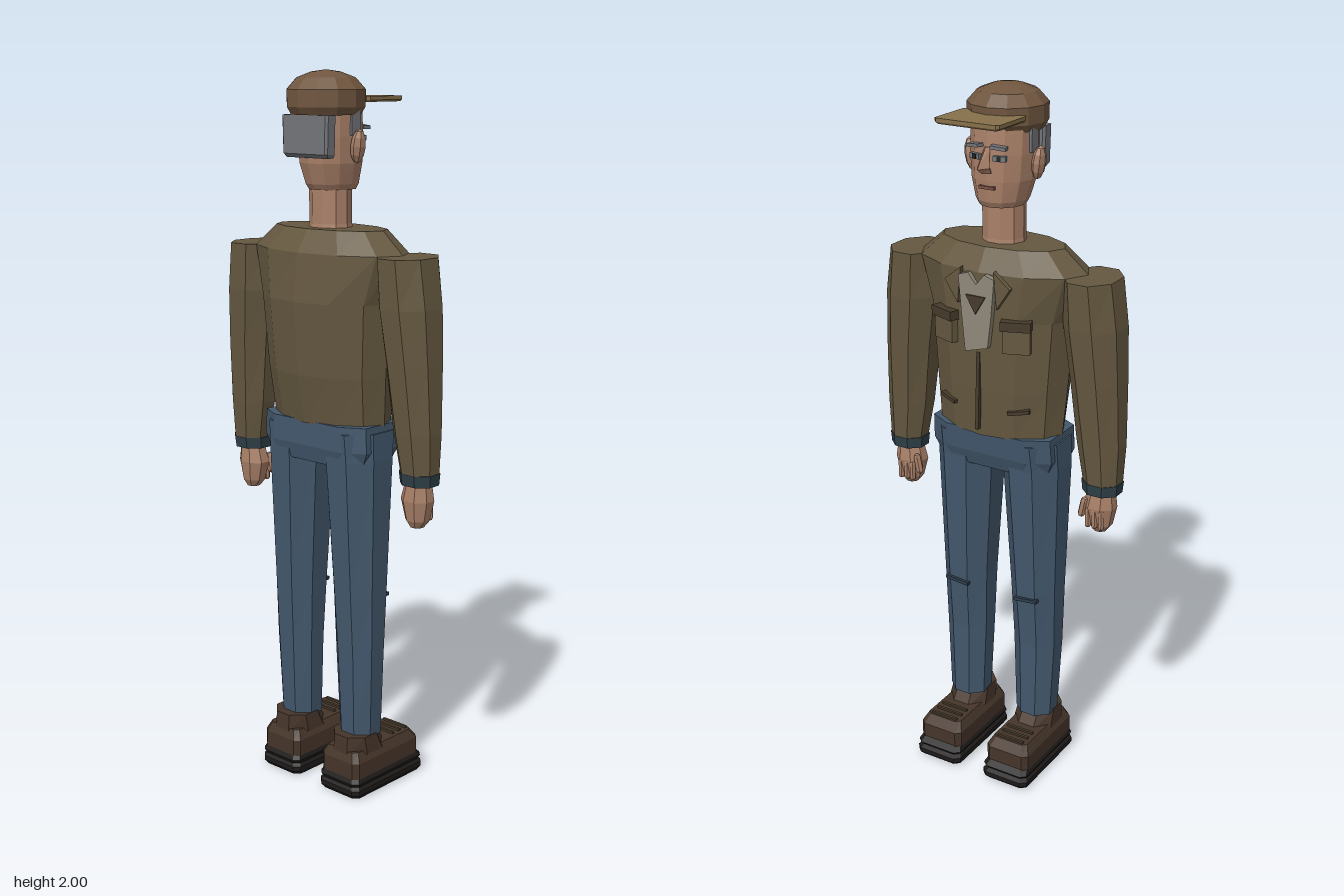
import * as THREE from 'three';

// Unit outlines [x, z], running from +x towards +z
const ngon = (n, turn = 0) => {
  const k = turn ? Math.cos(Math.PI / n) : 1;
  return Array.from({ length: n }, (_, i) => {
    const a = ((i + turn) / n) * Math.PI * 2;
    return [Math.cos(a) / k, Math.sin(a) / k];
  });
};
const chamfered = (cx, cz) => [
  [1, -1 + cz], [1, 1 - cz], [1 - cx, 1], [-1 + cx, 1],
  [-1, 1 - cz], [-1, -1 + cz], [-1 + cx, -1], [1 - cx, -1],
];

// Skin an outline through sections [y, x0, x1, z0, z1] listed bottom to top
function loft(outline, sections) {
  const n = outline.length, pos = [], idx = [];
  for (const [y, x0, x1, z0, z1] of sections)
    for (const [u, v] of outline)
      pos.push((x0 + x1) / 2 + (u * Math.abs(x1 - x0)) / 2, y, (z0 + z1) / 2 + (v * (z1 - z0)) / 2);
  for (let r = 0; r < sections.length - 1; r++)
    for (let i = 0; i < n; i++) {
      const a = r * n + i, b = r * n + ((i + 1) % n);
      idx.push(a, a + n, b, b, a + n, b + n);
    }
  const top = (sections.length - 1) * n;
  for (let i = 1; i < n - 1; i++) idx.push(0, i, i + 1, top, top + i + 1, top + i);
  const g = new THREE.BufferGeometry();
  g.setAttribute('position', new THREE.Float32BufferAttribute(pos, 3));
  g.setIndex(idx);
  g.computeVertexNormals();
  return g;
}

function plate(points, depth) {
  const s = new THREE.Shape(points.map(([x, y]) => new THREE.Vector2(x, y)));
  return new THREE.ExtrudeGeometry(s, { depth, bevelEnabled: false });
}

export function createModel() {
  const model = new THREE.Group();
  const mat = (color) => new THREE.MeshStandardMaterial({ color, flatShading: true });
  const jacket = mat(0x655840), seam = mat(0x463b2b), capCloth = mat(0x70563f), brimCloth = mat(0x86704a);
  const denim = mat(0x43586d), denimDark = mat(0x2f3c4b), skin = mat(0xa98068), hair = mat(0x73757a);
  const leather = mat(0x46352a), sole = mat(0x1e1b1a), cuff = mat(0x2f4048), shirt = mat(0x8f887a);
  const dark = mat(0x2a2422), lip = mat(0x7d4f45), eyeGrey = mat(0x6f7a80);

  const add = (name, geo, material, p = [0, 0, 0], r = [0, 0, 0]) => {
    const m = new THREE.Mesh(geo, material);
    m.name = name;
    m.position.set(...p);
    m.rotation.set(...r);
    model.add(m);
    return m;
  };
  const box = (name, size, material, p, r) => add(name, new THREE.BoxGeometry(...size), material, p, r);
  const eight = ngon(8, 0.5), twelve = ngon(12);
  const centred = (rows) => rows.map(([y, w, z0, z1]) => [y, -w, w, z0, z1]);
  const sided = (s, rows) => rows.map(([y, a, b, z0, z1]) => [y, s * a, s * b, z0, z1]);

  // Jacket body
  add('jacket', loft(twelve, centred([
    [1.065, 0.19, -0.095, 0.13], [1.2, 0.2, -0.105, 0.155], [1.4, 0.215, -0.11, 0.17],
    [1.53, 0.255, -0.107, 0.155], [1.59, 0.185, -0.07, 0.115],
  ])), jacket);
  box('zipper', [0.01, 0.22, 0.012], seam, [0, 1.2, -0.108], [0.04, 0, 0]);
  // Shirt opening
  add('shirtFront', plate([[-0.055, 1.52], [-0.045, 1.41], [-0.035, 1.33], [0.035, 1.31],
    [0.045, 1.41], [0.055, 1.52], [0.025, 1.53], [0, 1.5], [-0.025, 1.53]], 0.02), shirt, [0, 0, -0.118]);
  add('shirtShadow', plate([[-0.03, 1.47], [0, 1.42], [0.03, 1.47]], 0.006), seam, [0, 0, -0.123]);

  // Neck and head
  add('neck', loft(ngon(10), centred([[1.57, 0.064, -0.035, 0.085], [1.6, 0.06, -0.03, 0.08],
    [1.72, 0.06, -0.03, 0.08]])), skin);
  add('head', loft(twelve, centred([
    [1.69, 0.062, -0.05, 0.085], [1.705, 0.07, -0.058, 0.095], [1.76, 0.085, -0.063, 0.112],
    [1.83, 0.09, -0.063, 0.117], [1.92, 0.09, -0.055, 0.117],
  ])), skin);
  add('hairBack', loft(chamfered(0.08, 0.3), centred([[1.775, 0.074, 0.09, 0.12], [1.785, 0.08, 0.09, 0.128],
    [1.885, 0.083, 0.09, 0.128]])), hair);
  // Nose, mouth
  add('nose', loft(ngon(4), centred([[1.785, 0.018, -0.085, -0.05], [1.8, 0.018, -0.108, -0.05],
    [1.85, 0.008, -0.068, -0.05]])), skin);
  box('mouth', [0.045, 0.008, 0.01], lip, [0, 1.745, -0.061]);

  // Cap
  add('cap', loft(twelve, centred([
    [1.885, 0.095, -0.05, 0.138], [1.905, 0.106, -0.064, 0.15], [1.95, 0.107, -0.065, 0.15],
    [1.98, 0.08, -0.038, 0.123], [1.995, 0.04, 0.003, 0.083], [2, 0.004, 0.039, 0.047],
  ])), capCloth);
  add('capBrim', loft(chamfered(0.08, 0.1), centred([[1.917, 0.09, -0.158, -0.02], [1.922, 0.095, -0.162, -0.02],
    [1.932, 0.095, -0.162, -0.02]])), brimCloth);

  // Trouser waist
  add('trouserWaist', loft(chamfered(0.35, 0.35), centred([[0.955, 0.17, -0.06, 0.115],
    [1.0, 0.19, -0.075, 0.125], [1.07, 0.187, -0.082, 0.125]])), denim);

  for (const s of [1, -1]) {
    const side = s > 0 ? 'left' : 'right';
    // Face
    add(side + 'Ear', new THREE.SphereGeometry(1, 7, 6), skin, [s * 0.102, 1.805, 0.028], [0, 0, -s * 0.12])
      .scale.set(0.018, 0.045, 0.024);
    box(side + 'Sideburn', [0.012, 0.065, 0.035], hair, [s * 0.087, 1.865, 0.025]);
    box(side + 'Eye', [0.034, 0.014, 0.012], eyeGrey, [s * 0.036, 1.823, -0.057], [0, -s * 0.25, 0]);
    box(side + 'Pupil', [0.011, 0.013, 0.008], dark, [s * 0.036, 1.823, -0.062], [0, -s * 0.25, 0]);
    box(side + 'Brow', [0.042, 0.009, 0.022], hair, [s * 0.036, 1.852, -0.062], [0, -s * 0.25, -s * 0.1]);

    // Collar flap, chest pocket and hem slit
    add(side + 'Collar', plate(s > 0 ? [[0.05, 1.54], [0.06, 1.44], [0.1, 1.5]]
      : [[-0.05, 1.54], [-0.1, 1.5], [-0.06, 1.44]], 0.014), jacket, [0, 0, -0.114]);
    const turn = [0, -s * 0.35, 0];
    box(side + 'Pocket', [0.075, 0.085, 0.02], jacket, [s * 0.11, 1.365, -0.093], turn);
    box(side + 'PocketFlap', [0.082, 0.026, 0.032], seam, [s * 0.11, 1.4, -0.096], turn);
    box(side + 'HemSlit', [0.06, 0.01, 0.016], seam, [s * 0.11, 1.15, -0.081], [0, -s * 0.35, s * 0.15]);

    // Sleeve, cuff and hand
    add(side + 'Sleeve', loft(eight, sided(s, [
      [0.955, 0.267, 0.368, -0.028, 0.068], [1.07, 0.246, 0.372, -0.036, 0.08],
      [1.25, 0.225, 0.367, -0.052, 0.096], [1.4, 0.203, 0.36, -0.063, 0.108], [1.53, 0.2, 0.342, -0.065, 0.11],
    ])), jacket);
    add(side + 'Cuff', loft(eight, sided(s, [[0.93, 0.265, 0.368, -0.027, 0.066],
      [0.962, 0.262, 0.371, -0.03, 0.07]])), cuff);
    add(side + 'Hand', loft(eight, sided(s, [
      [0.81, 0.295, 0.33, 0.004, 0.04], [0.83, 0.28, 0.345, -0.008, 0.05], [0.885, 0.266, 0.356, -0.018, 0.058],
      [0.935, 0.28, 0.35, -0.01, 0.052],
    ])), skin);
    for (let i = 0; i < 3; i++)
      add(side + 'Finger', new THREE.CapsuleGeometry(0.009, 0.045, 2, 6), skin, [s * (0.29 + i * 0.02), 0.855, -0.01]);
    add(side + 'Thumb', new THREE.CapsuleGeometry(0.011, 0.04, 2, 6), skin, [s * 0.272, 0.88, -0.006], [0, 0, -s * 0.2]);

    // Trouser leg with knee crease
    add(side + 'Leg', loft(eight, sided(s, [
      [0.165, 0.058, 0.172, -0.028, 0.08], [0.4, 0.049, 0.182, -0.03, 0.09],
      [0.58, 0.042, 0.185, -0.044, 0.1], [0.97, 0.018, 0.195, -0.066, 0.12], [1.05, 0.015, 0.193, -0.078, 0.125],
    ])), denim);
    box(side + 'KneeCrease', [0.075, 0.01, 0.014], denimDark, [s * 0.115, 0.56, -0.044], [0, 0, s * 0.1]);

    // Shoe
    const toe = chamfered(0.22, 0.1);
    add(side + 'Sole', loft(toe, sided(s, [
      [0, 0.048, 0.182, -0.16, 0.118], [0.012, 0.041, 0.189, -0.172, 0.127], [0.026, 0.041, 0.189, -0.172, 0.127],
      [0.034, 0.048, 0.182, -0.16, 0.12], [0.046, 0.042, 0.188, -0.17, 0.127], [0.062, 0.05, 0.18, -0.155, 0.118],
    ])), sole);
    add(side + 'Shoe', loft(toe, sided(s, [[0.058, 0.046, 0.184, -0.155, 0.12],
      [0.105, 0.046, 0.184, -0.155, 0.12], [0.132, 0.06, 0.17, -0.135, 0.108]])), leather);
    add(side + 'ShoeCollar', loft(eight, sided(s, [[0.12, 0.052, 0.178, -0.045, 0.112],
      [0.172, 0.056, 0.174, -0.01, 0.108]])), leather);
    for (let i = 0; i < 3; i++)
      box(side + 'Lace', [0.085, 0.008, 0.008], seam, [s * 0.115, 0.134, -0.125 + i * 0.028]);
  }
  return model;
}
